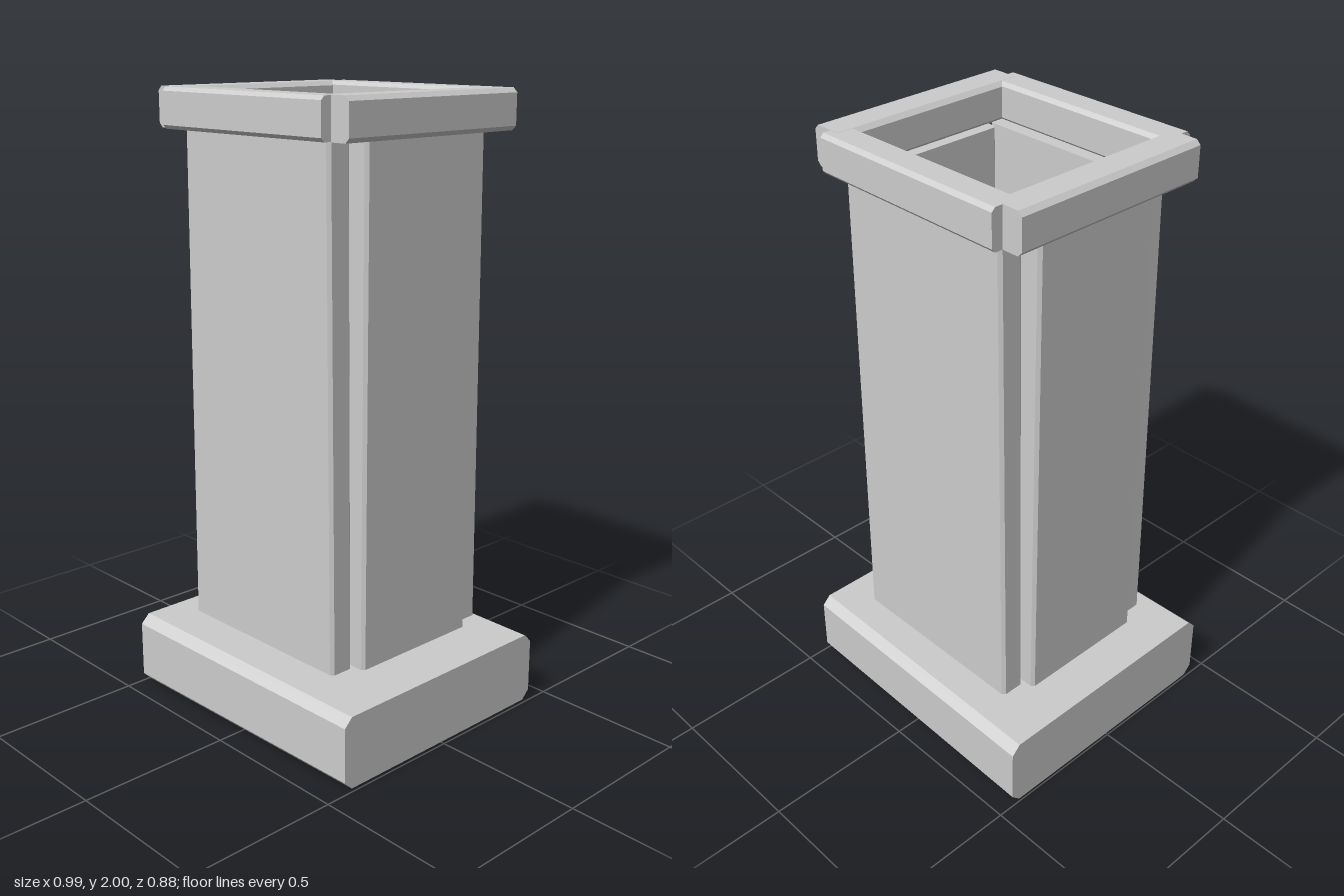
import * as THREE from 'three';

const stone = new THREE.MeshStandardMaterial({ color: 0xcccccc });
stone.name = 'grey stone';

// Chamfered bar along z (centred), its far end slightly narrowed by the two taper factors.
function barGeometry(width, height, length, chamfer, taperX = 1, taperY = 1) {
  const a = width / 2, b = height / 2, c = chamfer;
  const section = new THREE.Shape([
    [a, c - b], [a, b - c], [a - c, b], [c - a, b],
    [-a, b - c], [-a, c - b], [c - a, -b], [a - c, -b],
  ].map(([x, y]) => new THREE.Vector2(x, y)));
  const geo = new THREE.ExtrudeGeometry(section, { depth: length, bevelEnabled: false });
  const p = geo.attributes.position;
  for (let i = 0; i < p.count; i++) {
    if (p.getZ(i) > length / 2) p.setXY(i, p.getX(i) * taperX, p.getY(i) * taperY);
  }
  geo.translate(0, 0, -length / 2);
  geo.computeVertexNormals();
  return geo;
}

function addPart(group, name, geo, x, y, z) {
  const mesh = new THREE.Mesh(geo, stone);
  mesh.name = name;
  mesh.position.set(x, y, z);
  group.add(mesh);
}

export function createModel() {
  const model = new THREE.Group();
  model.name = 'pedestal';

  // Base slab, running along x
  addPart(model, 'base', barGeometry(0.88, 0.245, 0.985, 0.03, 0.967, 0.96).rotateY(Math.PI / 2), 0, 0.1225, 0);

  // Four upright panels, raised just above the base
  const bottom = 0.285, top = 1.88;
  const tall = top - bottom, midY = (top + bottom) / 2;
  const widePanel = barGeometry(0.665, 0.085, tall, 0.01, 0.96, 1).rotateX(-Math.PI / 2);
  const sidePanel = barGeometry(0.097, 0.465, tall, 0.01, 0.97, 0.98).rotateX(-Math.PI / 2);
  addPart(model, 'frontPanel', widePanel, 0, midY, 0.283);
  addPart(model, 'backPanel', widePanel, 0, midY, -0.283);
  addPart(model, 'leftPanel', sidePanel, 0.322, midY, 0);
  addPart(model, 'rightPanel', sidePanel, -0.322, midY, 0);

  // Four rails forming the open cap, with notched corners
  const capY = 1.9375;
  const wideRail = barGeometry(0.105, 0.125, 0.7, 0.012, 0.97, 0.98).rotateY(Math.PI / 2);
  const sideRail = barGeometry(0.115, 0.125, 0.69, 0.014);
  addPart(model, 'frontRail', wideRail, 0, capY, 0.33);
  addPart(model, 'backRail', wideRail, 0, capY, -0.33);
  addPart(model, 'leftRail', sideRail, 0.362, capY, 0);
  addPart(model, 'rightRail', sideRail, -0.362, capY, 0);

  return model;
}
